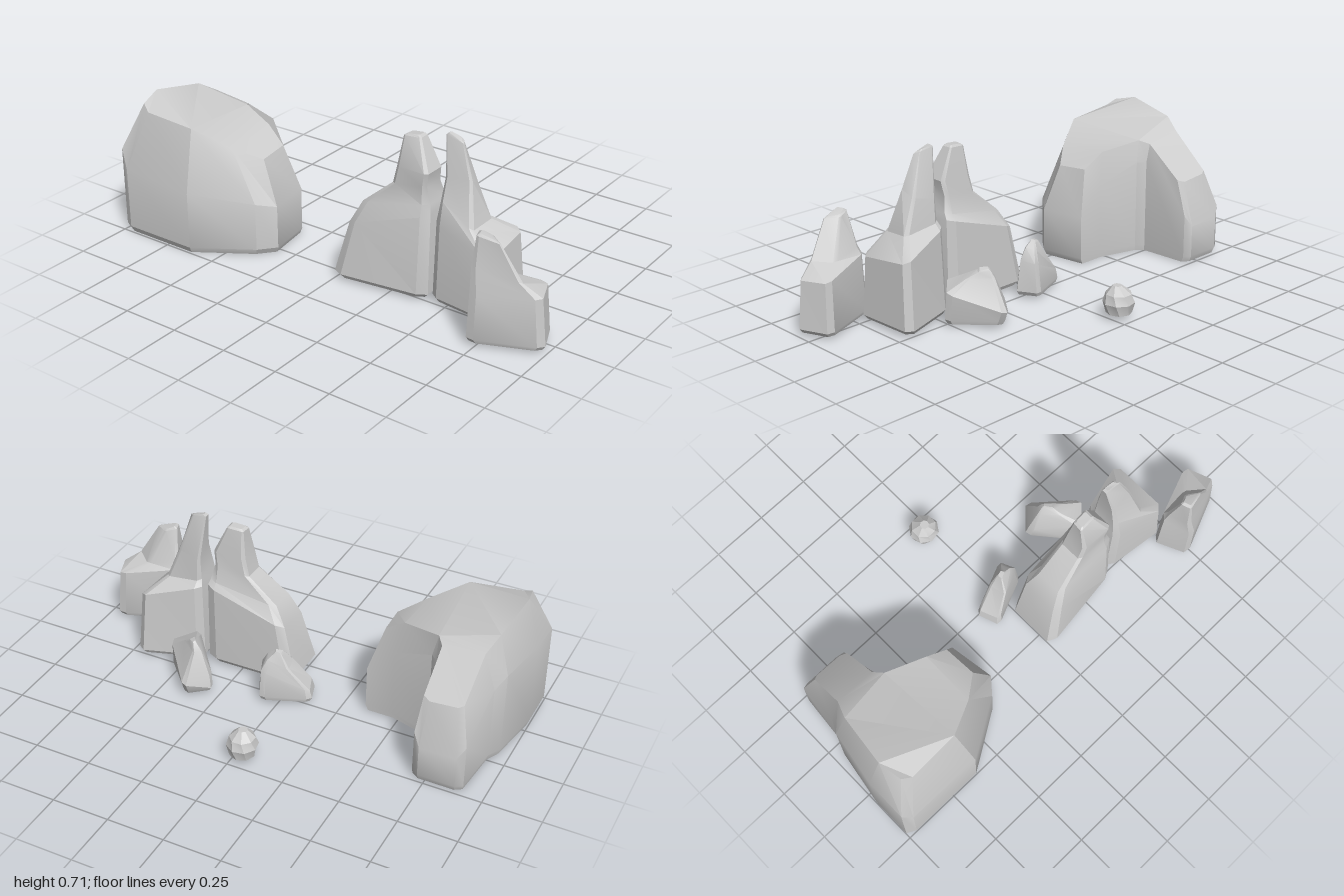
import * as THREE from 'three';
import { toCreasedNormals } from 'three/addons/utils/BufferGeometryUtils.js';

const material = new THREE.MeshStandardMaterial({ color: 0xcccccc });

// Skins a stack of rings (bottom to top, each clockwise seen from above).
// caps lists the ring indices of the polygons that close both ends.
function loft(name, rings, caps) {
  const n = rings[0].length;
  const ends = caps || [rings[0].map((_, i) => n - 1 - i)];
  const index = [];
  for (let k = 0; k < rings.length - 1; k++) {
    for (let i = 0; i < n; i++) {
      const j = (i + 1) % n;
      const a = k * n + i, b = k * n + j, c = b + n, d = a + n;
      index.push(a, d, c, a, c, b);
    }
  }
  const top = (rings.length - 1) * n;
  for (const p of ends) {
    for (let i = 1; i < p.length - 1; i++) {
      index.push(top + p[0], top + p[i], top + p[i + 1]);
      index.push(p[0], p[i + 1], p[i]);
    }
  }
  const geometry = new THREE.BufferGeometry();
  geometry.setAttribute('position', new THREE.Float32BufferAttribute(rings.flat(2), 3));
  geometry.setIndex(index);
  const mesh = new THREE.Mesh(toCreasedNormals(geometry, 0.42), material);
  mesh.name = name;
  return mesh;
}

const mix = (a, b, t) => a.map((v, i) => v + (b[i] - v) * t);

// Cuts the corners of a four-sided ring
function chamfer(ring, t = 0.1) {
  return ring.flatMap((c, i) => [mix(c, ring[(i + 3) % 4], t), mix(c, ring[(i + 1) % 4], t)]);
}

// Slightly smaller copy of the lowest ring, for the bevelled underside
function underside(ring, y, inset) {
  const centre = ring.reduce((s, p) => s.map((v, i) => v + p[i] / ring.length), [0, 0, 0]);
  return ring.map((p) => { const q = mix(p, centre, inset); return [q[0], y, q[2]]; });
}

// Four-sided tapering rock: footprint corners [x, z], then rings of [x, y, z]
function spire(name, foot, ...levels) {
  const base = foot.map(([x, z]) => [x, 0.035, z]);
  const last = levels[levels.length - 1];
  const crown = underside(last, 0, 0.3).map((p, i) => [p[0], last[i][1] + 0.008, p[2]]);
  const rings = [underside(base, 0.018, 0.08), base, ...levels, crown];
  return loft(name, rings.map((r) => chamfer(r)));
}

// Large boulder with a side arm and a hollow: columns of
// [footX, footZ, wallTopY, rimX, rimY, rimZ]
function boulder() {
  const columns = [
    [-0.5, -0.96, 0.3, -0.43, 0.56, -0.88],
    [-0.48, -1, 0.38, -0.41, 0.585, -0.92],
    [-0.3, -1, 0.4, -0.31, 0.61, -0.94],
    [-0.06, -0.96, 0.4, -0.08, 0.57, -0.91],
    [0, -0.93, 0.36, 0, 0.52, -0.88],
    [0.22, -0.91, 0.22, 0.17, 0.38, -0.87],
    [0.24, -0.88, 0.17, 0.18, 0.37, -0.85],
    [0.24, -0.72, 0.17, 0.18, 0.36, -0.73],
    [0.22, -0.69, 0.22, 0.165, 0.37, -0.7],
    [0, -0.68, 0.42, 0, 0.5, -0.7],
    [-0.03, -0.65, 0.42, -0.04, 0.515, -0.67],
    [-0.08, -0.47, 0.34, -0.1, 0.485, -0.5],
    [-0.08, -0.35, 0.22, -0.12, 0.42, -0.41],
    [-0.28, -0.32, 0.22, -0.26, 0.41, -0.4],
    [-0.35, -0.38, 0.24, -0.34, 0.46, -0.5],
    [-0.5, -0.62, 0.28, -0.42, 0.54, -0.65],
  ];
  const base = columns.map(([x, z]) => [x, 0.03, z]);
  const wall = columns.map(([x, z, y]) => [x, y, z]);
  const rim = columns.map((c) => c.slice(3));
  const caps = [[13, 12, 11, 14], [14, 11, 10, 15], [15, 10, 3, 2, 0], [0, 2, 1],
    [10, 9, 4, 3], [9, 8, 5, 4], [8, 7, 6, 5]];
  return loft('largeBoulder', [underside(base, 0.004, 0.03), base, wall, rim], caps);
}

// Rounded pebble: rings of [y, radius, centreX]
function pebble() {
  const levels = [[0.03, 0.054, 0.435], [0.075, 0.067, 0.433], [0.112, 0.055, 0.432], [0.143, 0.02, 0.425]];
  return loft('pebble', levels.map(([y, r, x], k) => Array.from({ length: 8 }, (_, i) => {
    const a = (i + 0.25 * k) * Math.PI / 4;
    return [x + r * Math.cos(a), y, -0.037 + r * Math.sin(a)];
  })));
}

export function createModel() {
  const group = new THREE.Group();
  group.name = 'rockFormation';
  group.add(
    boulder(),
    pebble(),
    spire('frontSpire',
      [[-0.445, 0.72], [-0.3, 0.655], [-0.185, 0.94], [-0.33, 1]],
      [[-0.437, 0.22, 0.725], [-0.3, 0.28, 0.67], [-0.2, 0.24, 0.93], [-0.33, 0.235, 0.98]],
      [[-0.415, 0.33, 0.715], [-0.31, 0.31, 0.69], [-0.28, 0.28, 0.83], [-0.35, 0.29, 0.91]],
      [[-0.395, 0.455, 0.725], [-0.35, 0.455, 0.71], [-0.33, 0.44, 0.76], [-0.37, 0.435, 0.82]]),
    spire('tallSpire',
      [[-0.25, 0.43], [-0.07, 0.43], [0.025, 0.715], [-0.285, 0.725]],
      [[-0.245, 0.36, 0.44], [-0.08, 0.38, 0.44], [0, 0.31, 0.7], [-0.275, 0.28, 0.71]],
      [[-0.225, 0.46, 0.45], [-0.1, 0.4, 0.45], [-0.1, 0.38, 0.62], [-0.24, 0.37, 0.61]],
      [[-0.2, 0.55, 0.455], [-0.105, 0.5, 0.455], [-0.12, 0.52, 0.56], [-0.185, 0.55, 0.57]],
      [[-0.165, 0.705, 0.435], [-0.14, 0.705, 0.435], [-0.142, 0.695, 0.5], [-0.165, 0.685, 0.52]]),
    spire('broadSpire',
      [[-0.325, -0.005], [-0.08, -0.005], [-0.075, 0.41], [-0.27, 0.42]],
      [[-0.29, 0.26, 0.05], [-0.09, 0.28, 0.05], [-0.08, 0.4, 0.41], [-0.25, 0.38, 0.415]],
      [[-0.26, 0.36, 0.1], [-0.12, 0.36, 0.1], [-0.1, 0.42, 0.405], [-0.235, 0.42, 0.405]],
      [[-0.235, 0.47, 0.23], [-0.125, 0.47, 0.23], [-0.12, 0.49, 0.39], [-0.235, 0.49, 0.39]],
      [[-0.235, 0.55, 0.25], [-0.13, 0.55, 0.25], [-0.13, 0.55, 0.4], [-0.24, 0.55, 0.4]],
      [[-0.2, 0.67, 0.26], [-0.15, 0.67, 0.265], [-0.145, 0.675, 0.34], [-0.195, 0.675, 0.34]]),
    spire('sideRock',
      [[-0.07, 0.43], [0.115, 0.275], [0.195, 0.37], [0.02, 0.535]],
      [[-0.065, 0.17, 0.44], [0.105, 0.09, 0.285], [0.212, 0.07, 0.37], [0.03, 0.15, 0.53]],
      [[0.02, 0.21, 0.4], [0.1, 0.2, 0.335], [0.13, 0.2, 0.36], [0.06, 0.2, 0.45]],
      [[0.06, 0.23, 0.39], [0.1, 0.235, 0.36], [0.115, 0.23, 0.37], [0.085, 0.222, 0.41]]),
    spire('smallRock',
      [[-0.105, -0.1], [0, -0.135], [0.085, 0.07], [-0.01, 0.12]],
      [[-0.095, 0.08, -0.09], [0, 0.07, -0.125], [0.07, 0.16, 0.07], [-0.005, 0.17, 0.1]],
      [[-0.06, 0.18, -0.02], [0.02, 0.17, -0.035], [0.045, 0.21, 0.05], [0, 0.22, 0.07]],
      [[-0.02, 0.23, 0], [0.015, 0.23, 0], [0.02, 0.235, 0.03], [0, 0.238, 0.04]]),
  );
  return group;
}
